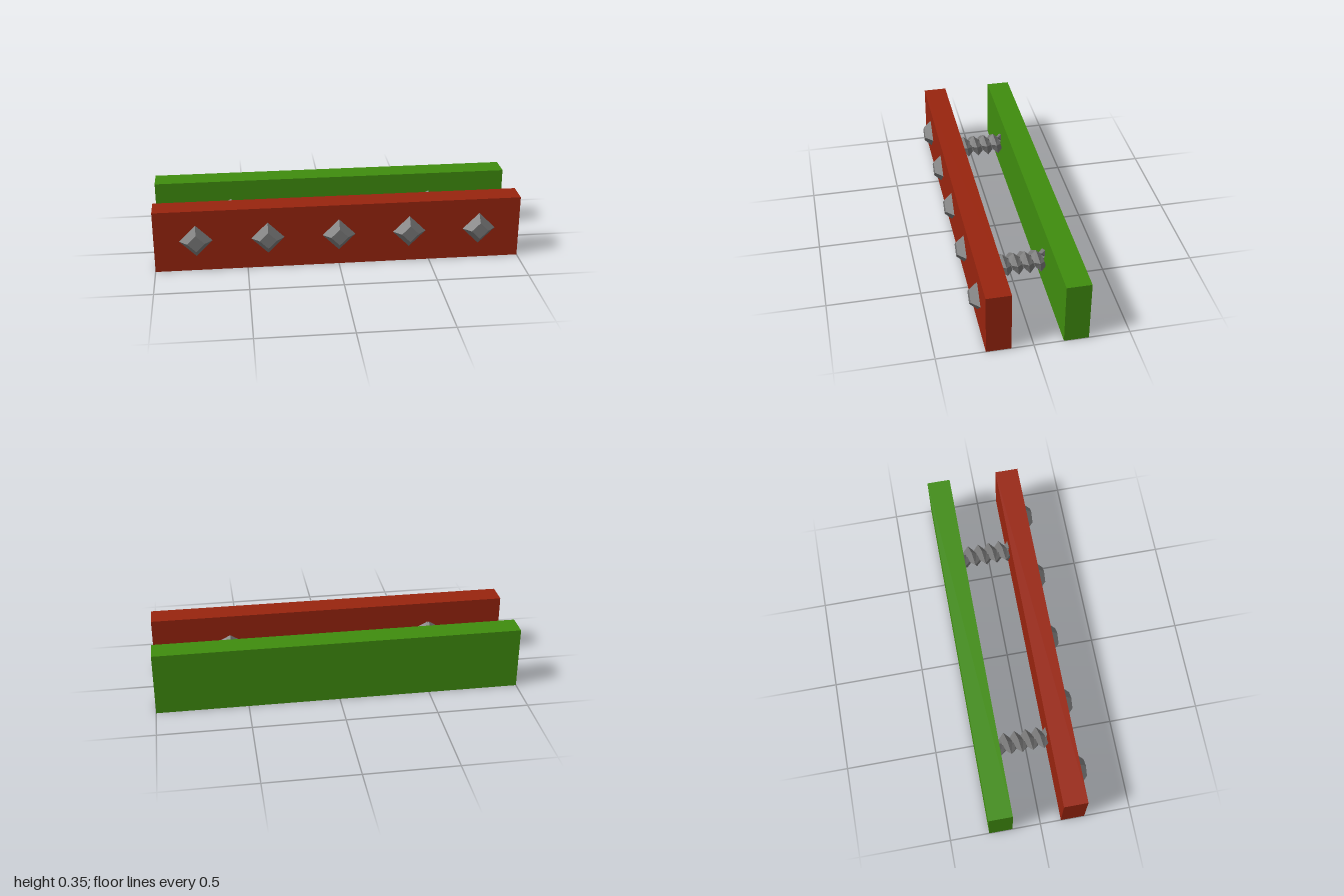
import * as THREE from 'three';

const mat = (name, color) => {
  const m = new THREE.MeshStandardMaterial({ color, flatShading: true });
  m.name = name;
  return m;
};

// Faceted coil along z: a diamond section swept round a five-sided helix
function coilGeometry(radius, radial, axial, pitch, turns, zStart) {
  const sides = 5, rings = sides * turns;
  const section = [[radial, 0], [0, axial], [-radial, 0], [0, -axial]];
  const pos = [], idx = [];
  for (let i = 0; i <= rings; i++) {
    const t = (i / sides) * Math.PI * 2;
    const z = zStart - (i / sides) * pitch;
    for (const [dr, dz] of section) {
      pos.push(Math.sin(t) * (radius + dr), Math.cos(t) * (radius + dr), z + dz);
    }
  }
  for (let i = 0; i < rings; i++) {
    for (let k = 0; k < 4; k++) {
      const a = i * 4 + k, b = i * 4 + (k + 1) % 4;
      idx.push(a, b, b + 4, a, b + 4, a + 4);
    }
  }
  // end caps
  const e = rings * 4;
  idx.push(0, 2, 1, 0, 3, 2, e, e + 1, e + 2, e, e + 2, e + 3);
  const g = new THREE.BufferGeometry();
  g.setAttribute('position', new THREE.Float32BufferAttribute(pos, 3));
  g.setIndex(idx);
  g.computeVertexNormals();
  return g;
}

export function createModel() {
  const model = new THREE.Group();
  model.name = 'springBumper';
  const red = mat('red', 0x98240e);
  const green = mat('green', 0x3f8c0e);
  const steel = mat('steel grey', 0x787878);

  const add = (name, geometry, material, x, y, z) => {
    const mesh = new THREE.Mesh(geometry, material);
    mesh.name = name;
    mesh.position.set(x, y, z);
    model.add(mesh);
  };

  // Two upright boards
  const board = new THREE.BoxGeometry(2, 0.348, 0.13);
  add('frontBoard', board, red, 0, 0.174, 0.18);
  add('backBoard', board, green, 0, 0.174, -0.22);

  // Row of pyramid studs on the front board
  const stud = new THREE.CylinderGeometry(0.047, 0.09, 0.042, 4).rotateX(Math.PI / 2);
  for (let i = -2; i <= 2; i++) add('stud', stud, steel, i * 0.387, 0.175, 0.266);

  // Coil springs between the boards
  const coil = coilGeometry(0.037, 0.029, 0.028, 0.06, 5, 0.135);
  for (const x of [-0.573, 0.567]) add('spring', coil, steel, x, 0.185, 0);

  return model;
}
